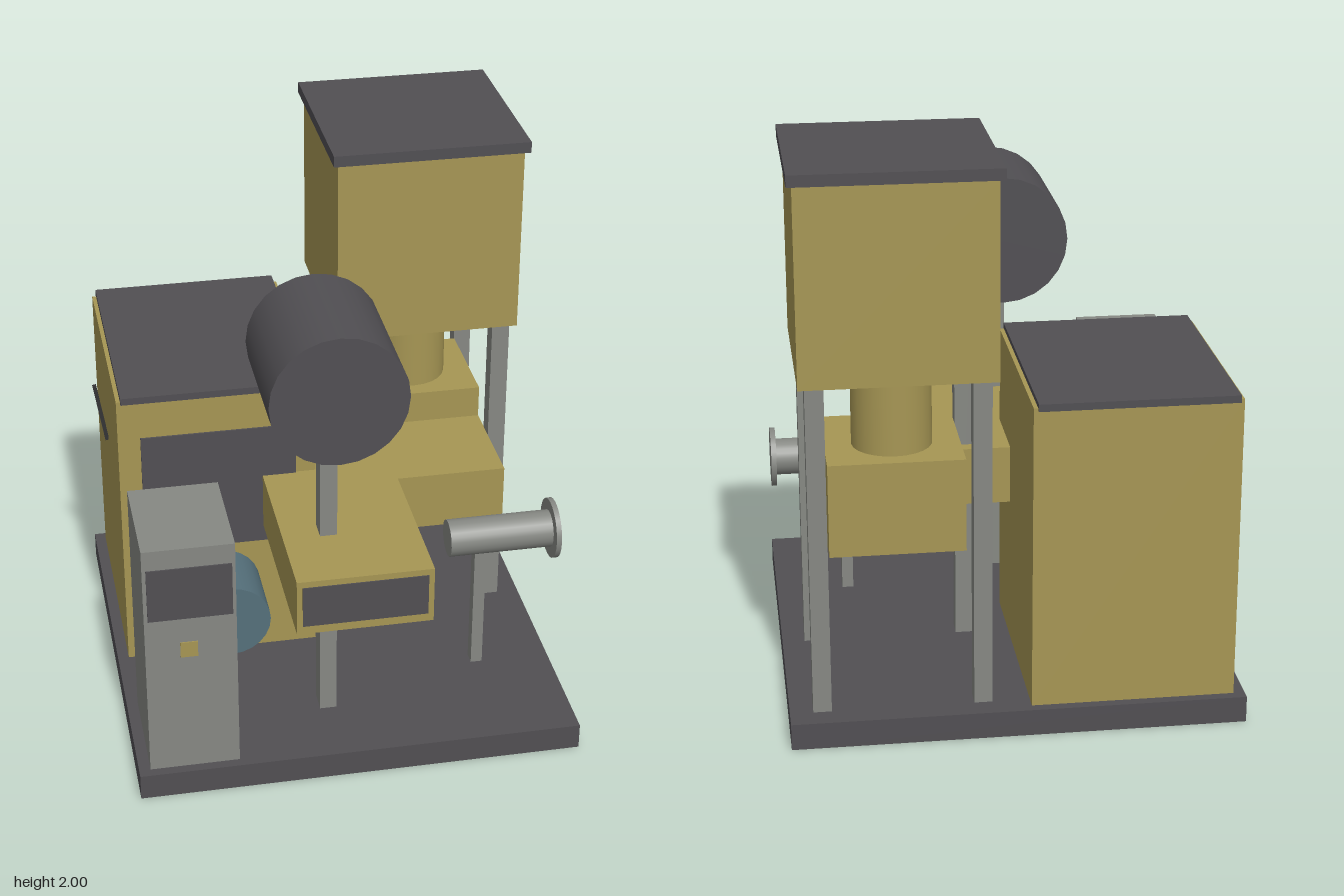
import * as THREE from 'three';

const material = (name, color) => {
  const m = new THREE.MeshStandardMaterial({ color });
  m.name = name;
  return m;
};

export function createModel() {
  const model = new THREE.Group();
  model.name = 'processingMachine';
  const ochre = material('ochre', 0xa69654);
  const charcoal = material('charcoal', 0x514f53);
  const steel = material('steelGrey', 0x868883);
  const blue = material('motorBlue', 0x55707b);
  const black = material('handleBlack', 0x333335);

  const add = (name, geometry, mat, x, y, z) => {
    const mesh = new THREE.Mesh(geometry, mat);
    mesh.name = name;
    mesh.position.set(x, y, z);
    model.add(mesh);
    return mesh;
  };
  // Box given by its limits on each axis
  const box = (name, mat, [x0, x1], [y0, y1], [z0, z1]) =>
    add(name, new THREE.BoxGeometry(x1 - x0, y1 - y0, z1 - z0), mat,
      (x0 + x1) / 2, (y0 + y1) / 2, (z0 + z1) / 2);
  // Cylinder running along one axis from a to b, centred on the other two coordinates
  const cylinder = (name, mat, axis, r, a, b, centre) => {
    const geometry = new THREE.CylinderGeometry(r, r, b - a, 24);
    if (axis === 'x') geometry.rotateZ(-Math.PI / 2);
    if (axis === 'z') geometry.rotateX(Math.PI / 2);
    const mesh = add(name, geometry, mat, ...centre);
    mesh.position[axis] = (a + b) / 2;
    return mesh;
  };

  const floor = 0.095;
  box('basePlate', charcoal, [-0.79, 0.79], [0, floor], [-0.79, 0.79]);

  // Hopper tower on four legs
  box('hopper', ochre, [0.068, 0.732], [1.275, 1.96], [-0.73, -0.066]);
  box('hopperLid', charcoal, [0.05, 0.75], [1.96, 2], [-0.748, -0.048]);
  for (const x of [0.122, 0.678])
    for (const z of [-0.676, -0.12])
      box('hopperLeg', steel, [x - 0.032, x + 0.032], [floor, 1.275], [z - 0.032, z + 0.032]);
  cylinder('hopperChute', ochre, 'y', 0.14, 0.955, 1.275, [0.4, 0, -0.397]);

  // Duct that turns from the chute to the front
  box('chuteBox', ochre, [0.165, 0.635], [0.62, 0.955], [-0.597, -0.197]);
  box('crossDuct', ochre, [0.165, 0.635], [0.62, 0.835], [-0.197, 0.197]);
  box('frontDuct', ochre, [-0.235, 0.24], [0.625, 0.835], [-0.2, 0.79]);
  box('ductOpening', charcoal, [-0.215, 0.22], [0.657, 0.812], [0.787, 0.794]);

  // Main housing with roof, front panel and side handle
  box('housing', ochre, [-0.75, -0.04], [floor, 1.187], [-0.755, 0.08]);
  box('housingRoof', charcoal, [-0.735, -0.055], [1.18, 1.206], [-0.772, 0.092]);
  box('housingPanel', charcoal, [-0.67, -0.112], [0.56, 1.035], [0.079, 0.087]);
  const handle = box('sideHandle', black, [-0.78, -0.766], [0.8, 1.035], [-0.343, -0.328]);
  handle.rotation.z = 0.16;

  // Motor in front of the housing
  cylinder('motor', blue, 'z', 0.14, 0.1, 0.357, [-0.395, 0.4, 0]);

  // Control cabinet
  box('cabinet', steel, [-0.75, -0.435], [floor, 0.995], [0.36, 0.755]);
  box('cabinetScreen', charcoal, [-0.737, -0.447], [0.718, 0.92], [0.753, 0.76]);
  box('cabinetButton', ochre, [-0.63, -0.57], [0.56, 0.62], [0.75, 0.759]);

  // Drum on a pole
  cylinder('drum', charcoal, 'z', 0.236, 0.24, 0.715, [-0.075, 1.47, 0]);
  box('drumPole', steel, [-0.105, -0.045], [floor, 1.26], [0.439, 0.52]);

  // Side outlet pipe with flange and support
  cylinder('outletPipe', steel, 'x', 0.068, 0.4, 0.785, [0, 0.638, 0.317]);
  cylinder('outletFlange', steel, 'x', 0.11, 0.778, 0.797, [0, 0.638, 0.317]);
  box('outletSupport', steel, [0.498, 0.54], [floor, 0.585], [0.295, 0.343]);

  return model;
}
